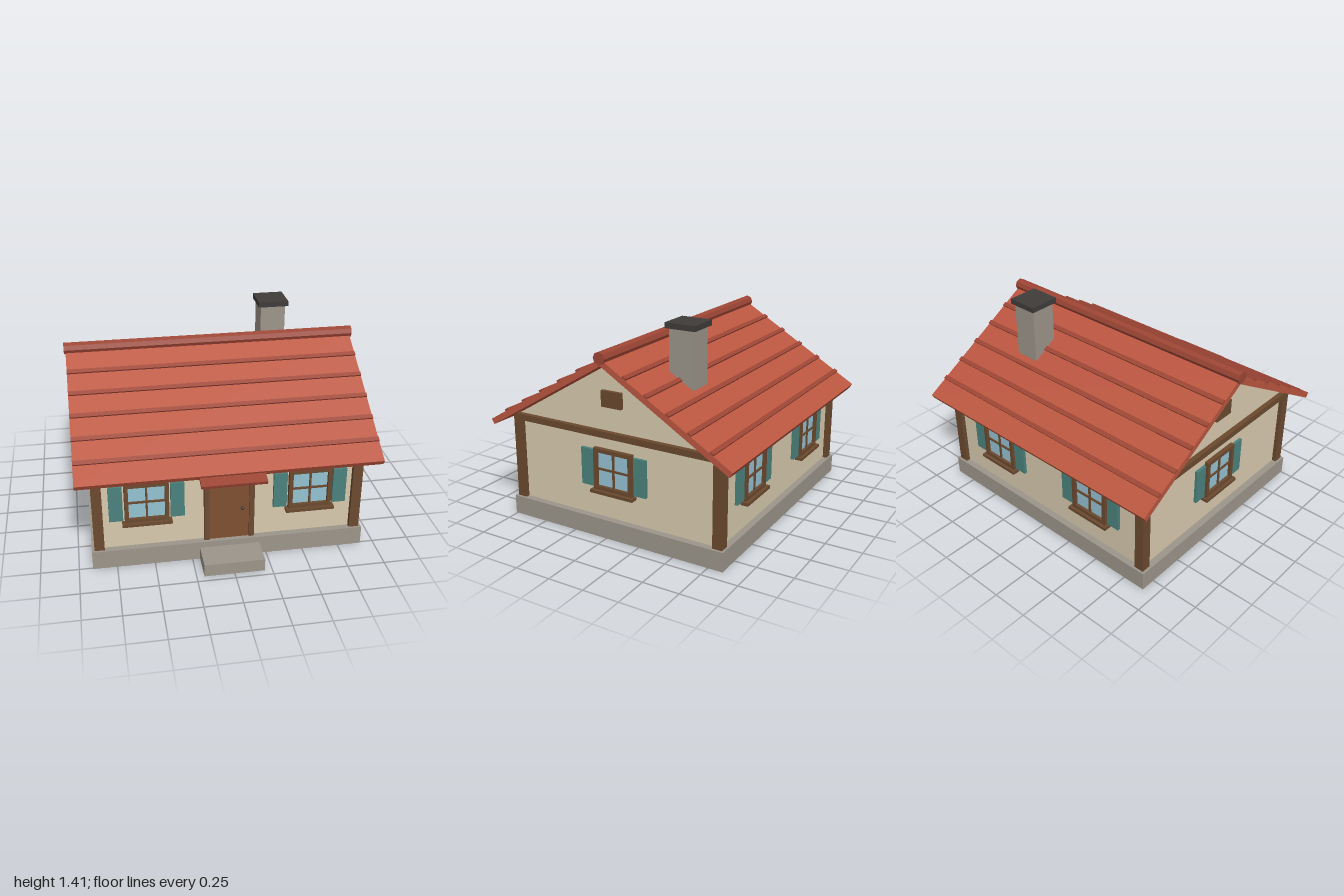
import * as THREE from 'three';

const mat = (color) => new THREE.MeshStandardMaterial({ color, flatShading: true });
const M = {
  wall: mat(0xd8c9ae), stone: mat(0x9c958a), timber: mat(0x6b4a2f), door: mat(0x7f5030),
  roof: mat(0xbb5640), trim: mat(0x9c4534), glass: mat(0x94c2d2), shutter: mat(0x4b827d),
  dark: mat(0x3f3c3a),
};

// Wall half sizes, plinth top and roof pitch
const WX = 0.863, WZ = 0.761, BASE = 0.13, PITCH = Math.atan(0.6);

function add(parent, name, geometry, material, x = 0, y = 0, z = 0) {
  const mesh = new THREE.Mesh(geometry, material);
  mesh.name = name;
  mesh.position.set(x, y, z);
  parent.add(mesh);
  return mesh;
}

const box = (parent, name, material, w, h, d, x, y, z) =>
  add(parent, name, new THREE.BoxGeometry(w, h, d), material, x, y, z);

function group(parent, name) {
  const g = new THREE.Group();
  g.name = name;
  parent.add(g);
  return g;
}

// Window with shutters; its origin lies on the wall and +z points outward
function addWindow(parent, name, x, z, turn) {
  const g = group(parent, name);
  g.position.set(x, 0.467, z);
  g.rotation.y = turn;
  box(g, 'glass', M.glass, 0.25, 0.26, 0.02, 0, 0, 0);
  for (const s of [-1, 1]) {
    box(g, 'frameSide', M.timber, 0.027, 0.285, 0.04, s * 0.131, 0, 0.01);
    box(g, 'frameRail', M.timber, 0.236, 0.027, 0.04, 0, s * 0.129, 0.01);
    box(g, 'shutter', M.shutter, 0.091, 0.254, 0.03, s * 0.2, -0.002, 0.005);
  }
  box(g, 'mullion', M.timber, 0.013, 0.24, 0.03, 0, 0, 0.005);
  box(g, 'crossbar', M.timber, 0.24, 0.013, 0.03, 0, 0, 0.005);
  box(g, 'sill', M.timber, 0.325, 0.021, 0.07, 0, -0.152, 0.016);
}

function addWalls(house) {
  box(house, 'plinth', M.stone, 1.82, BASE, 1.612, 0, BASE / 2, 0);
  box(house, 'doorStep', M.stone, 0.4, 0.087, 0.2, 0, 0.0435, 0.9);

  // Gabled wall section, extruded along x
  const section = new THREE.Shape([
    new THREE.Vector2(-WZ, BASE), new THREE.Vector2(WZ, BASE), new THREE.Vector2(WZ, 0.728),
    new THREE.Vector2(0, 1.185), new THREE.Vector2(-WZ, 0.728),
  ]);
  const walls = new THREE.ExtrudeGeometry(section, { depth: WX * 2, bevelEnabled: false });
  walls.translate(0, 0, -WX).rotateY(Math.PI / 2);
  add(house, 'walls', walls, M.wall);

  // Corner posts, top beams, gable vents
  for (const s of [-1, 1]) {
    for (const t of [-1, 1])
      box(house, 'cornerPost', M.timber, 0.067, 0.59, 0.067, s * 0.859, BASE + 0.295, t * 0.757);
    box(house, 'sideBeam', M.timber, 0.045, 0.043, 1.58, s * 0.873, 0.711, 0);
    box(house, 'eaveBeam', M.timber, 1.78, 0.043, 0.045, 0, 0.711, s * 0.768);
    box(house, 'gableVent', M.timber, 0.05, 0.106, 0.148, s * WX, 0.948, 0);
  }
}

function addDoor(house) {
  const g = group(house, 'entrance');
  box(g, 'door', M.door, 0.27, 0.46, 0.03, 0, BASE + 0.23, WZ);
  for (const s of [-1, 1]) {
    box(g, 'doorJamb', M.timber, 0.034, 0.485, 0.05, s * 0.15, BASE + 0.2425, WZ);
    const bracket = box(g, 'canopyBracket', M.timber, 0.02, 0.02, 0.165, s * 0.181, 0.617, 0.848);
    bracket.rotation.x = -0.33;
  }
  box(g, 'doorLintel', M.timber, 0.266, 0.027, 0.05, 0, 0.6015, WZ);
  add(g, 'doorKnob', new THREE.SphereGeometry(0.013, 10, 8), M.dark, 0.088, 0.357, 0.784);
  const canopy = box(g, 'doorCanopy', M.trim, 0.422, 0.022, 0.205, 0, 0.677, 0.861);
  canopy.rotation.x = 0.29;
}

function addRoof(house) {
  const length = 1.038;
  for (const turn of [0, Math.PI]) {
    const side = group(house, turn ? 'backRoof' : 'frontRoof');
    side.rotation.y = turn;
    const slope = group(side, 'roofSlope');
    slope.position.y = 1.213;
    slope.rotation.x = PITCH;
    box(slope, 'roofSlab', M.roof, 1.978, 0.04, length, 0, 0, length / 2);
    for (let i = 0; i < 5; i++)
      box(slope, 'tileBatten', M.trim, 1.978, 0.022, 0.03, 0, 0.021, 0.184 + i * 0.1728);
  }
  const ridge = new THREE.CylinderGeometry(0.042, 0.042, 2, 8);
  ridge.rotateZ(Math.PI / 2);
  add(house, 'ridgeCap', ridge, M.trim, 0, 1.239, 0);

  box(house, 'chimney', M.stone, 0.177, 0.44, 0.177, 0.494, 1.15, -0.324);
  box(house, 'chimneyCap', M.dark, 0.214, 0.037, 0.214, 0.494, 1.389, -0.324);
}

export function createModel() {
  const model = new THREE.Group();
  model.name = 'cottage';
  const house = group(model, 'house');
  house.position.z = -0.046;

  addWalls(house);
  addDoor(house);
  addRoof(house);
  for (const s of [-1, 1]) {
    addWindow(house, 'frontWindow', s * 0.54, WZ, 0);
    addWindow(house, 'backWindow', s * 0.43, -WZ, Math.PI);
    addWindow(house, 'sideWindow', s * WX, 0, s * Math.PI / 2);
  }
  return model;
}
